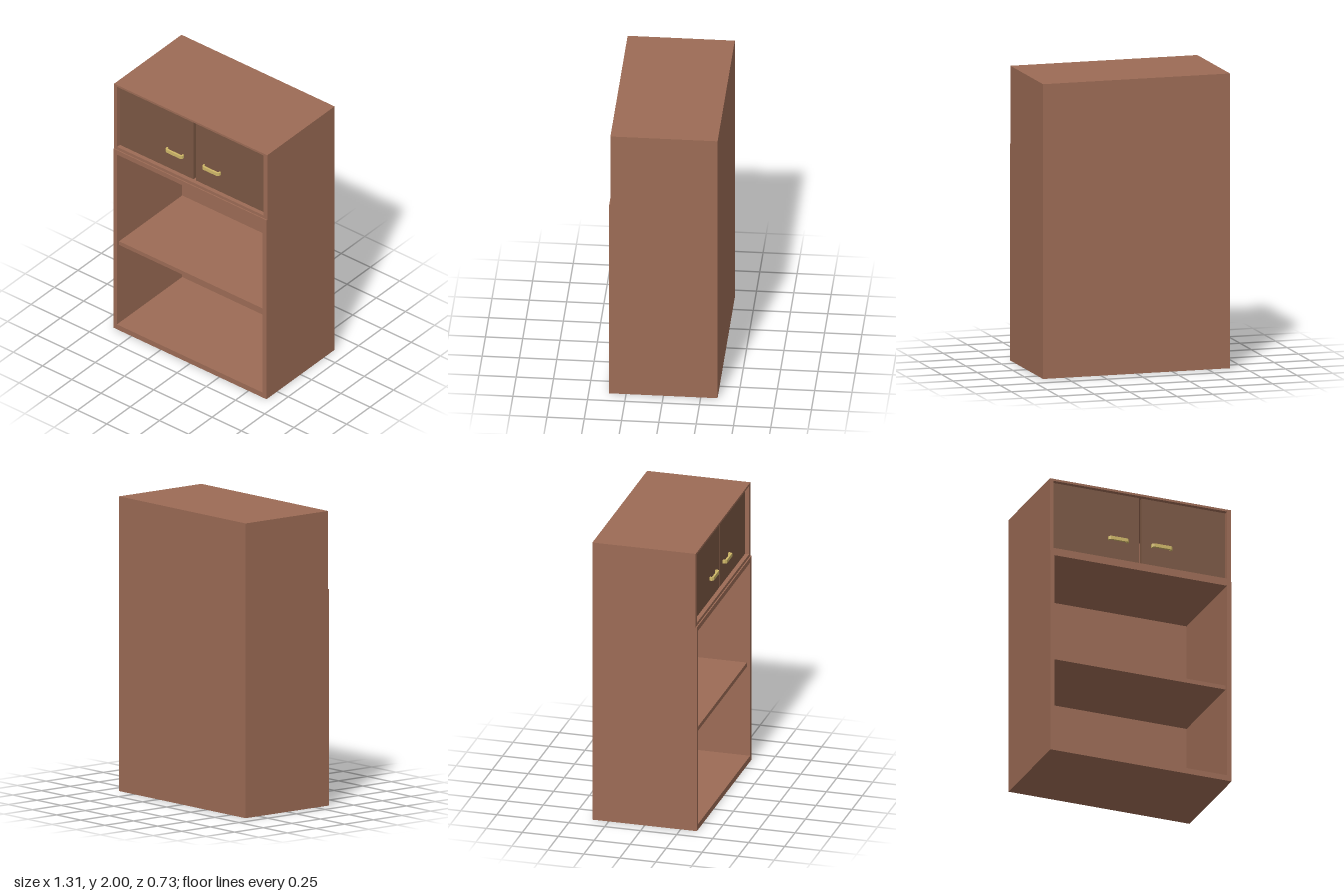
import * as THREE from 'three';

const material = (color) => new THREE.MeshStandardMaterial({ color });
const wood = material(0x9c6b55);
const darkWood = material(0x7b5743);
const brass = material(0xd0b868);

// Box given by its minimum and maximum corners
function box(name, mat, [x0, y0, z0], [x1, y1, z1]) {
  const mesh = new THREE.Mesh(new THREE.BoxGeometry(x1 - x0, y1 - y0, z1 - z0), mat);
  mesh.position.set((x0 + x1) / 2, (y0 + y1) / 2, (z0 + z1) / 2);
  mesh.name = name;
  return mesh;
}

function rectangle(path, x0, y0, x1, y1) {
  path.moveTo(x0, y0);
  path.lineTo(x1, y0);
  path.lineTo(x1, y1);
  path.lineTo(x0, y1);
  path.closePath();
  return path;
}

// Open-fronted case: a rectangular tube closed by a back panel
function openCase(name, outer, opening, zBack, zFront, backThickness) {
  const group = new THREE.Group();
  group.name = name;
  const shape = rectangle(new THREE.Shape(), ...outer);
  shape.holes.push(rectangle(new THREE.Path(), ...opening));
  const walls = new THREE.Mesh(new THREE.ExtrudeGeometry(shape, {
    depth: zFront - zBack, bevelEnabled: false,
  }), wood);
  walls.position.z = zBack;
  walls.name = name + 'Walls';
  const [x0, y0, x1, y1] = opening;
  group.add(walls, box(name + 'Back', wood, [x0, y0, zBack], [x1, y1, zBack + backThickness]));
  return group;
}

// Bar pull with two legs and chamfered ends
function createHandle(x, y, z) {
  const w = 0.073, d = 0.028;
  const profile = new THREE.Shape([
    [-w, 0], [-w, 0.016], [-w + 0.012, d], [w - 0.012, d], [w, 0.016], [w, 0],
    [w - 0.012, 0], [w - 0.012, 0.014], [-w + 0.012, 0.014], [-w + 0.012, 0],
  ].map(([px, py]) => new THREE.Vector2(px, py)));
  const geometry = new THREE.ExtrudeGeometry(profile, { depth: 0.024, bevelEnabled: false });
  geometry.translate(0, 0, -0.012).rotateX(Math.PI / 2);
  const handle = new THREE.Mesh(geometry, brass);
  handle.position.set(x, y, z);
  handle.name = 'handle';
  return handle;
}

export function createModel() {
  const model = new THREE.Group();
  model.name = 'cabinet';

  // Lower open bookcase with one shelf
  const lower = openCase('lowerCase', [-0.655, 0, 0.655, 1.47],
    [-0.625, 0.04, 0.622, 1.435], -0.363, 0.363, 0.03);
  lower.add(box('shelf', wood, [-0.625, 0.68, -0.333], [0.622, 0.71, 0.34]));

  // Upper cupboard, set back slightly at the front
  const upper = openCase('upperCase', [-0.655, 1.47, 0.655, 2],
    [-0.63, 1.492, 0.625, 1.985], -0.363, 0.355, 0.03);

  // Two recessed doors with a narrow gap between them
  const doorFront = 0.326;
  for (const [side, x0, x1, handleX] of [
    ['right', -0.628, 0, -0.152], ['left', 0.02, 0.624, 0.162],
  ]) {
    const door = new THREE.Group();
    door.name = side + 'Door';
    door.add(
      box('doorPanel', darkWood, [x0, 1.493, doorFront - 0.03], [x1, 1.984, doorFront]),
      createHandle(handleX, 1.646, doorFront),
    );
    upper.add(door);
  }

  model.add(lower, upper);
  return model;
}
